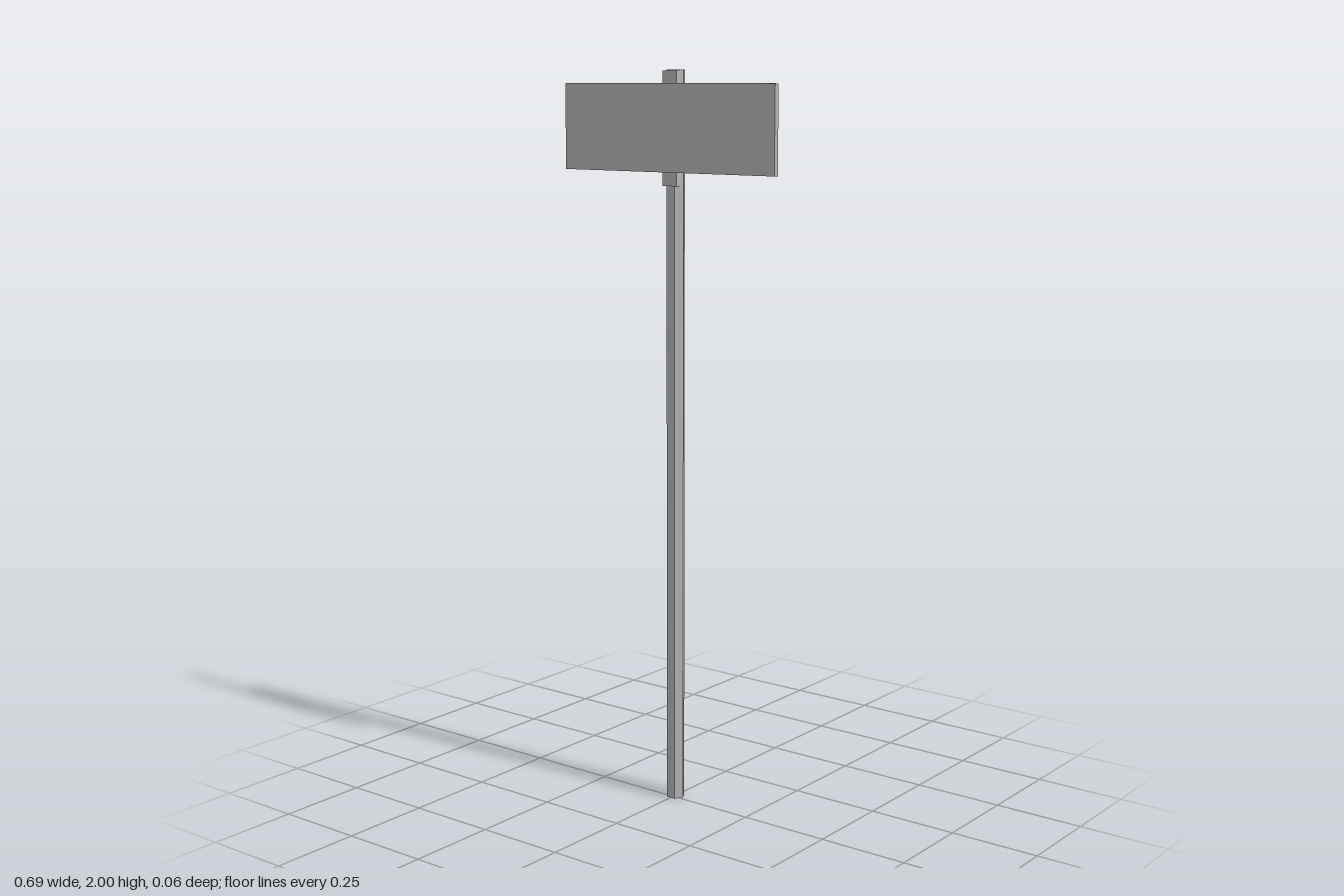
import * as THREE from 'three';

export function createModel() {
  const sign = new THREE.Group();
  sign.name = 'signpost';
  const grey = new THREE.MeshStandardMaterial({ color: 0xb3b3b3, flatShading: true });
  grey.name = 'plain grey';

  const add = (name, geometry, x, y, z) => {
    const mesh = new THREE.Mesh(geometry, grey);
    mesh.name = name;
    mesh.position.set(x, y, z);
    sign.add(mesh);
  };

  // Hexagonal post with a flat side facing front
  add('post', new THREE.CylinderGeometry(0.026, 0.026, 2, 6, 1, false, Math.PI / 6), 0, 1, -0.011);

  // Mounting block between the post and the board
  add('mountingBlock', new THREE.BoxGeometry(0.047, 0.299, 0.024), 0, 1.8485, 0.004);

  // Blank rectangular sign board
  add('signBoard', new THREE.BoxGeometry(0.692, 0.23, 0.015), 0, 1.85, 0.0235);

  return sign;
}
